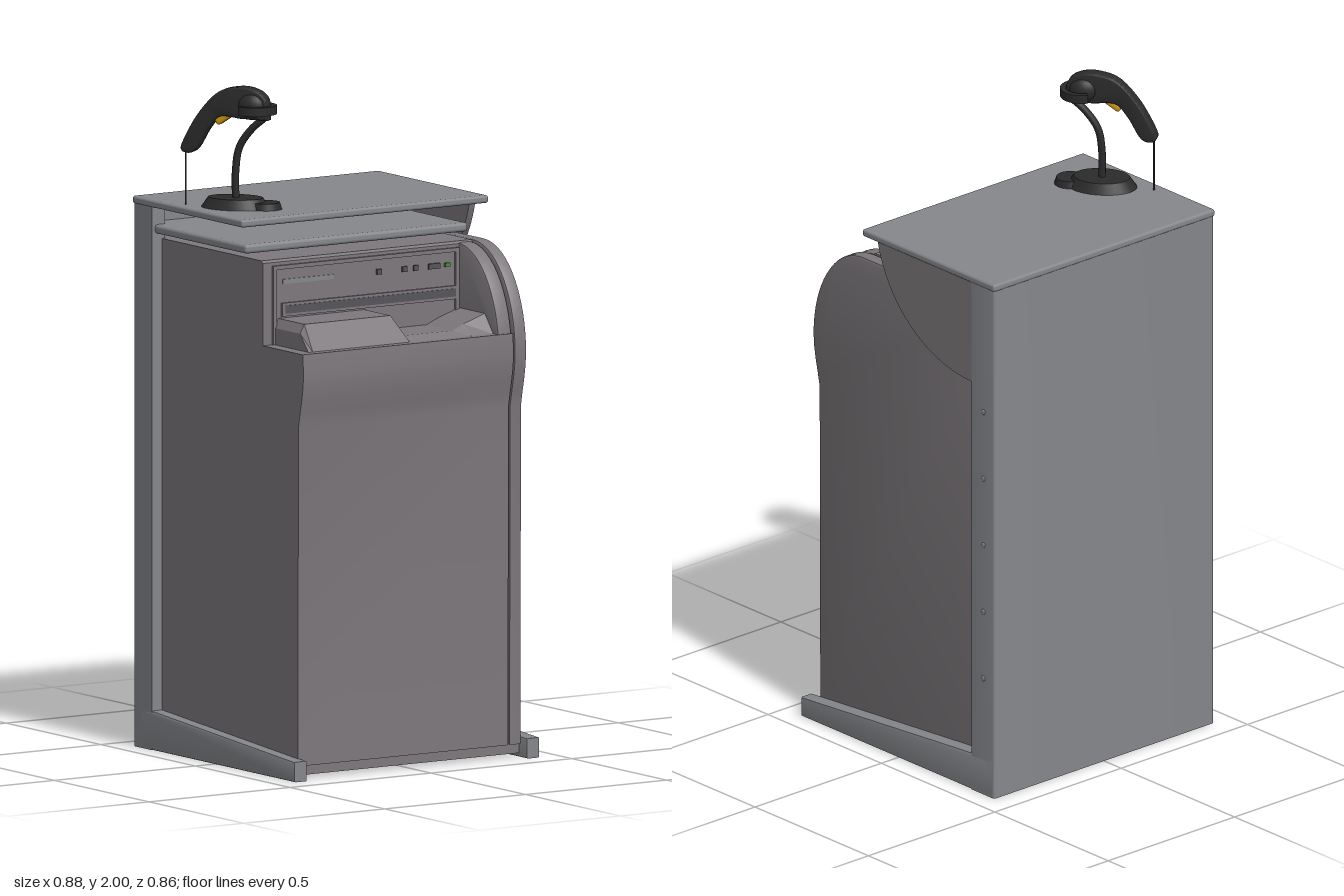
import * as THREE from 'three';
import { RoundedBoxGeometry } from 'three/addons/geometries/RoundedBoxGeometry.js';
import { toCreasedNormals } from 'three/addons/utils/BufferGeometryUtils.js';

const mat = (color) => new THREE.MeshStandardMaterial({ color });

export function createModel() {
  const shellMat = mat(0x85878b), bodyMat = mat(0x7d787c), darkMat = mat(0x2b2b2b);
  const detailMat = mat(0x55555a), yellowMat = mat(0xd09a10), greenMat = mat(0x4a8a3a);
  const model = new THREE.Group();

  const add = (name, geo, material, parent = model) => {
    const mesh = new THREE.Mesh(geo, material);
    mesh.name = name;
    parent.add(mesh);
    return mesh;
  };
  // Box given by its minimum and maximum corners, optionally rounded
  const box = (name, material, [x0, y0, z0], [x1, y1, z1], r = 0) => {
    const s = [x1 - x0, y1 - y0, z1 - z0];
    const geo = r ? new RoundedBoxGeometry(...s, 2, r) : new THREE.BoxGeometry(...s);
    const mesh = add(name, geo, material);
    mesh.position.set((x0 + x1) / 2, (y0 + y1) / 2, (z0 + z1) / 2);
    return mesh;
  };
  // Side profile of [z, y] points extruded from x0 to x1
  const sidePanel = (name, material, points, x0, x1, bevel = 0) => {
    const shape = new THREE.Shape(points.map(([z, y]) => new THREE.Vector2(-z, y)));
    const geo = new THREE.ExtrudeGeometry(shape, {
      depth: x1 - x0 - 2 * bevel, bevelEnabled: bevel > 0, bevelSize: bevel,
      bevelThickness: bevel, bevelOffset: -bevel, bevelSegments: 2,
    });
    geo.rotateY(Math.PI / 2).translate(x0 + bevel, 0, 0);
    return add(name, toCreasedNormals(geo, 0.6), material);
  };
  // Points along an elliptical arc in the z-y plane, angles from the front
  const arc = (cz, cy, rz, ry, a0, a1, n) => Array.from({ length: n + 1 }, (_, i) => {
    const a = a0 + (a1 - a0) * i / n;
    return [cz + rz * Math.cos(a), cy + ry * Math.sin(a)];
  });

  // Outer shell: U-shaped back channel, worktop and shelf
  const u = new THREE.Shape();
  u.moveTo(-0.435, 0.325);
  u.lineTo(-0.435, 0.415);
  u.quadraticCurveTo(-0.435, 0.425, -0.425, 0.425);
  u.lineTo(0.425, 0.425);
  u.quadraticCurveTo(0.435, 0.425, 0.435, 0.415);
  for (const p of [[0.435, 0.325], [0.39, 0.325], [0.39, 0.38], [-0.39, 0.38], [-0.39, 0.325]]) u.lineTo(...p);
  const channel = new THREE.ExtrudeGeometry(u, { depth: 1.625, bevelEnabled: false });
  add('backShell', toCreasedNormals(channel.rotateX(-Math.PI / 2), 0.6), shellMat);
  box('worktop', shellMat, [-0.438, 1.617, -0.428], [0.438, 1.64, 0.155], 0.008);
  box('shelf', shellMat, [-0.425, 1.538, -0.39], [0.365, 1.565, 0.155], 0.01);

  // Curved bracket under the worktop, on the left side only
  const bracket = [[-0.33, 1.62], ...arc(-0.33, 1.7, 0.43, 0.4, -Math.PI / 2, -0.2, 14)];
  sidePanel('worktopBracket', bodyMat, bracket, 0.412, 0.433);

  // Wedge-shaped base rails and floor
  for (const [name, x0] of [['leftBaseRail', 0.39], ['rightBaseRail', -0.435]]) {
    sidePanel(name, shellMat, [[-0.42, 0], [0.427, 0], [0.427, 0.06], [-0.325, 0.117], [-0.42, 0.117]],
      x0, x0 + 0.045, 0.005);
  }
  box('floor', bodyMat, [-0.4, 0.012, -0.385], [0.39, 0.045, 0.385]);

  // Main body with a bulging front and an open tray compartment
  const bulge = [[0.393, 0.04], [0.396, 1.05], [0.404, 1.09], [0.413, 1.13], [0.42, 1.17], [0.423, 1.21]];
  sidePanel('mainBody', bodyMat, [[-0.38, 0.04], ...bulge, [0.419, 1.27], [0.39, 1.27],
    [0.39, 1.23], [0.208, 1.23], [0.208, 1.515], [0.2, 1.522], [-0.38, 1.522]], -0.4, 0.345);
  box('trayRim', bodyMat, [-0.4, 1.22, 0.2], [-0.36, 1.27, 0.395]);

  // Arched cheek panel and the inner rib beside it
  sidePanel('archPanel', bodyMat, [[-0.38, 0.04], ...bulge,
    ...arc(0.2, 1.21, 0.223, 0.312, 0.1, Math.PI / 2, 16), [-0.38, 1.522]], 0.35, 0.392, 0.006);
  sidePanel('archRib', bodyMat, [[0.19, 1.22], [0.418, 1.22],
    ...arc(0.2, 1.21, 0.219, 0.308, 0.1, Math.PI / 2, 14), [0.19, 1.518]], 0.295, 0.343, 0.006);

  // Moulded tray whose front slopes down to the rim
  const trayShape = new THREE.Shape([[-0.36, 1.23], [0.297, 1.23], [0.297, 1.325], [0.22, 1.30], [0.18, 1.283],
    [0, 1.283], [-0.04, 1.347], [-0.345, 1.347], [-0.36, 1.32]].map((p) => new THREE.Vector2(...p)));
  const tray = new THREE.ExtrudeGeometry(trayShape, { depth: 1, steps: 2, bevelEnabled: false });
  const tp = tray.attributes.position;
  for (let i = 0; i < tp.count; i++) {
    const t = tp.getZ(i);
    tp.setZ(i, t < 0.25 ? 0.205 : t < 0.75 ? 0.345 : 0.391);
    if (t > 0.75) tp.setY(i, Math.min(tp.getY(i), 1.268));
  }
  tray.computeVertexNormals();
  add('tray', tray, bodyMat);

  // Control panel: raised frame, slot, plain label strip and buttons
  const frame = new THREE.Shape([[-0.368, 1.27], [0.292, 1.27], [0.292, 1.505], [-0.368, 1.505]]
    .map((p) => new THREE.Vector2(...p)));
  frame.holes.push(new THREE.Path([[-0.355, 1.27], [-0.355, 1.493], [0.28, 1.493], [0.28, 1.27]]
    .map((p) => new THREE.Vector2(...p))));
  const frameGeo = new THREE.ExtrudeGeometry(frame, { depth: 0.012, bevelEnabled: false });
  add('controlFrame', frameGeo.translate(0, 0, 0.204), bodyMat);
  box('slotSurround', bodyMat, [-0.335, 1.352, 0.2], [0.285, 1.392, 0.215]);
  box('slot', detailMat, [-0.325, 1.36, 0.2], [0.278, 1.384, 0.217]);
  box('labelStrip', shellMat, [-0.33, 1.448, 0.2], [-0.15, 1.462, 0.211]);
  for (const [x, w] of [[0.01, 0.016], [0.1, 0.016], [0.14, 0.016], [0.205, 0.04]]) {
    box('button', detailMat, [x - w / 2, 1.448, 0.2], [x + w / 2, 1.464, 0.215]);
  }
  box('indicator', greenMat, [0.243, 1.45, 0.2], [0.26, 1.462, 0.215]);

  // Bolts along the left edge of the shell
  for (let i = 0; i < 5; i++) {
    const bolt = add('bolt', new THREE.SphereGeometry(0.009, 12, 8), shellMat);
    bolt.position.set(0.434, 0.37 + i * 0.2125, -0.377);
    bolt.scale.x = 0.5;
  }

  // Handheld scanner on a stand, built along its own x axis and turned
  const scanner = new THREE.Group();
  scanner.name = 'scanner';
  scanner.position.set(-0.31, 0, -0.07);
  scanner.rotation.y = -0.95;
  model.add(scanner);

  const base = add('standBase', new THREE.CylinderGeometry(0.06, 0.075, 0.03, 32), darkMat, scanner);
  base.position.set(0, 1.655, 0);
  base.scale.x = 1.4;
  const toe = add('standToe', new THREE.CylinderGeometry(0.042, 0.048, 0.02, 24), darkMat, scanner);
  toe.position.set(0.095, 1.65, 0);
  const stemPath = new THREE.CatmullRomCurve3([[0, 1.66], [0, 1.75], [0.012, 1.82], [0.05, 1.875], [0.09, 1.91]]
    .map(([x, y]) => new THREE.Vector3(x, y, 0)));
  add('standStem', new THREE.TubeGeometry(stemPath, 24, 0.011, 10), darkMat, scanner);

  // Open U-shaped cradle holding the head
  const cradle = new THREE.Shape();
  cradle.absarc(0.06, 0, 0.065, -Math.PI / 2 - 0.5, Math.PI / 2 + 0.5, false);
  cradle.absarc(0.06, 0, 0.048, Math.PI / 2 + 0.5, -Math.PI / 2 - 0.5, true);
  const cradleGeo = new THREE.ExtrudeGeometry(cradle, { depth: 0.026, bevelEnabled: false, curveSegments: 24 });
  add('cradle', toCreasedNormals(cradleGeo.rotateX(-Math.PI / 2).translate(0, 1.922, 0), 0.6), darkMat, scanner);

  // Scanner head and handle
  const gun = new THREE.Shape();
  gun.moveTo(0.1, 1.91);
  gun.splineThru([[0.095, 1.965], [0.06, 1.99], [0.01, 1.994], [-0.05, 1.975], [-0.11, 1.91], [-0.155, 1.83],
    [-0.158, 1.805], [-0.125, 1.81], [-0.085, 1.875], [-0.045, 1.915], [0.02, 1.912]]
    .map((p) => new THREE.Vector2(...p)));
  const gunGeo = new THREE.ExtrudeGeometry(gun, {
    depth: 0.026, bevelSize: 0.006, bevelThickness: 0.008, bevelSegments: 3, curveSegments: 30,
  });
  add('scannerBody', toCreasedNormals(gunGeo.translate(0, 0, -0.013), 0.7), darkMat, scanner);
  const nose = add('scannerNose', new THREE.SphereGeometry(0.045, 20, 14), darkMat, scanner);
  nose.position.set(0.055, 1.945, 0);
  nose.scale.set(1.05, 0.95, 0.85);
  const trigger = add('trigger', new RoundedBoxGeometry(0.055, 0.022, 0.034, 2, 0.008), yellowMat, scanner);
  trigger.position.set(-0.035, 1.906, 0);
  trigger.rotation.z = 0.6;
  const cable = add('cable', new THREE.CylinderGeometry(0.003, 0.003, 0.17, 8), darkMat, scanner);
  cable.position.set(-0.157, 1.725, 0);

  return model;
}
